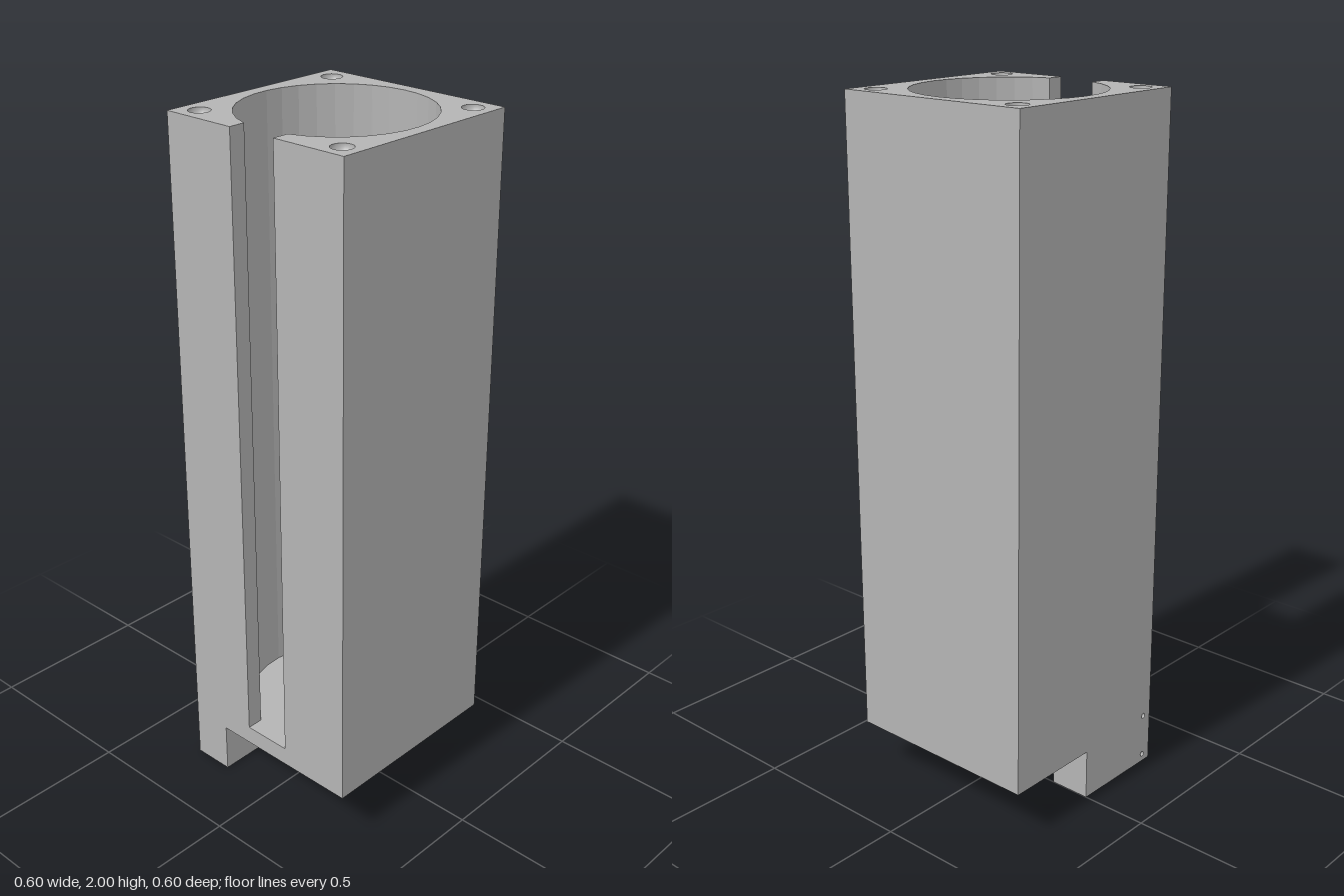
import * as THREE from 'three';

const HALF = 0.3;      // half width of the square column
const BORE = 0.262;    // bore radius
const SLOT = 0.074;    // half width of the side slot
const BASE = 0.15;     // underside of the column
const FLOOR = 0.205;   // bottom of the bore
const TOP = 2;

export function createModel() {
  const model = new THREE.Group();
  const grey = new THREE.MeshStandardMaterial({ color: 0xb4b4b4 });
  grey.name = 'grey';
  const greyInside = grey;
  greyInside.side = THREE.DoubleSide;

  const add = (name, geometry, x = 0, y = 0, z = 0) => {
    const mesh = new THREE.Mesh(geometry, grey);
    mesh.name = name;
    mesh.position.set(x, y, z);
    model.add(mesh);
    return mesh;
  };
  const box = (name, x0, x1, y0, y1, z0, z1) =>
    add(name, new THREE.BoxGeometry(x1 - x0, y1 - y0, z1 - z0), (x0 + x1) / 2, (y0 + y1) / 2, (z0 + z1) / 2);
  const hole = (shape, x, y, r) => shape.holes.push(new THREE.Path().absarc(x, y, r, 0, Math.PI * 2, true));
  // bowl-shaped recess opening towards +y
  const dimple = (name, r, x, y, z) =>
    add(name, new THREE.SphereGeometry(r, 24, 10, 0, Math.PI * 2, Math.PI / 2, Math.PI / 2), x, y, z);

  // Column: square outline whose inner edge follows the slot and the bore
  const outline = new THREE.Shape();
  outline.moveTo(-HALF, -SLOT);
  outline.lineTo(-HALF, -HALF);
  outline.lineTo(HALF, -HALF);
  outline.lineTo(HALF, HALF);
  outline.lineTo(-HALF, HALF);
  outline.lineTo(-HALF, SLOT);
  const start = Math.PI - Math.asin(SLOT / BORE);
  const steps = 30;
  for (let i = 0; i <= steps; i++) {
    const a = start * (1 - (2 * i) / steps);
    outline.lineTo(BORE * Math.cos(a), BORE * Math.sin(a));
  }
  outline.closePath();
  const corners = [[-1, -1], [1, -1], [1, 1], [-1, 1]].map(([sx, sz]) => [sx * 0.243, sz * 0.243]);
  corners.forEach(([x, z]) => hole(outline, x, z, 0.03));
  const column = new THREE.ExtrudeGeometry(outline, { depth: TOP - FLOOR, bevelEnabled: false, curveSegments: 12 });
  column.rotateX(-Math.PI / 2);
  add('column', column, 0, FLOOR, 0);

  // Rounded recesses in the four top corners
  corners.forEach(([x, z]) => dimple('cornerRecess', 0.03, x, TOP, z));

  // Floor, tab and the back skin carrying two pin holes
  const skin = 0.02;
  box('floor', -HALF, HALF, BASE, FLOOR, -HALF + skin, HALF);
  box('tab', -HALF, 0, 0, BASE, -HALF + skin, -0.176);
  const back = new THREE.Shape([[-HALF, 0], [0, 0], [0, BASE], [HALF, BASE], [HALF, FLOOR], [-HALF, FLOOR]]
    .map(([x, y]) => new THREE.Vector2(x, y)));
  const pins = [0.023, 0.154];
  pins.forEach((y) => hole(back, -0.269, y, 0.008));
  add('backSkin', new THREE.ExtrudeGeometry(back, { depth: skin, bevelEnabled: false }), 0, 0, -HALF);
  pins.forEach((y) => {
    dimple('pinHole', 0.008, -0.269, y, -HALF).rotation.x = -Math.PI / 2;
  });

  return model;
}
